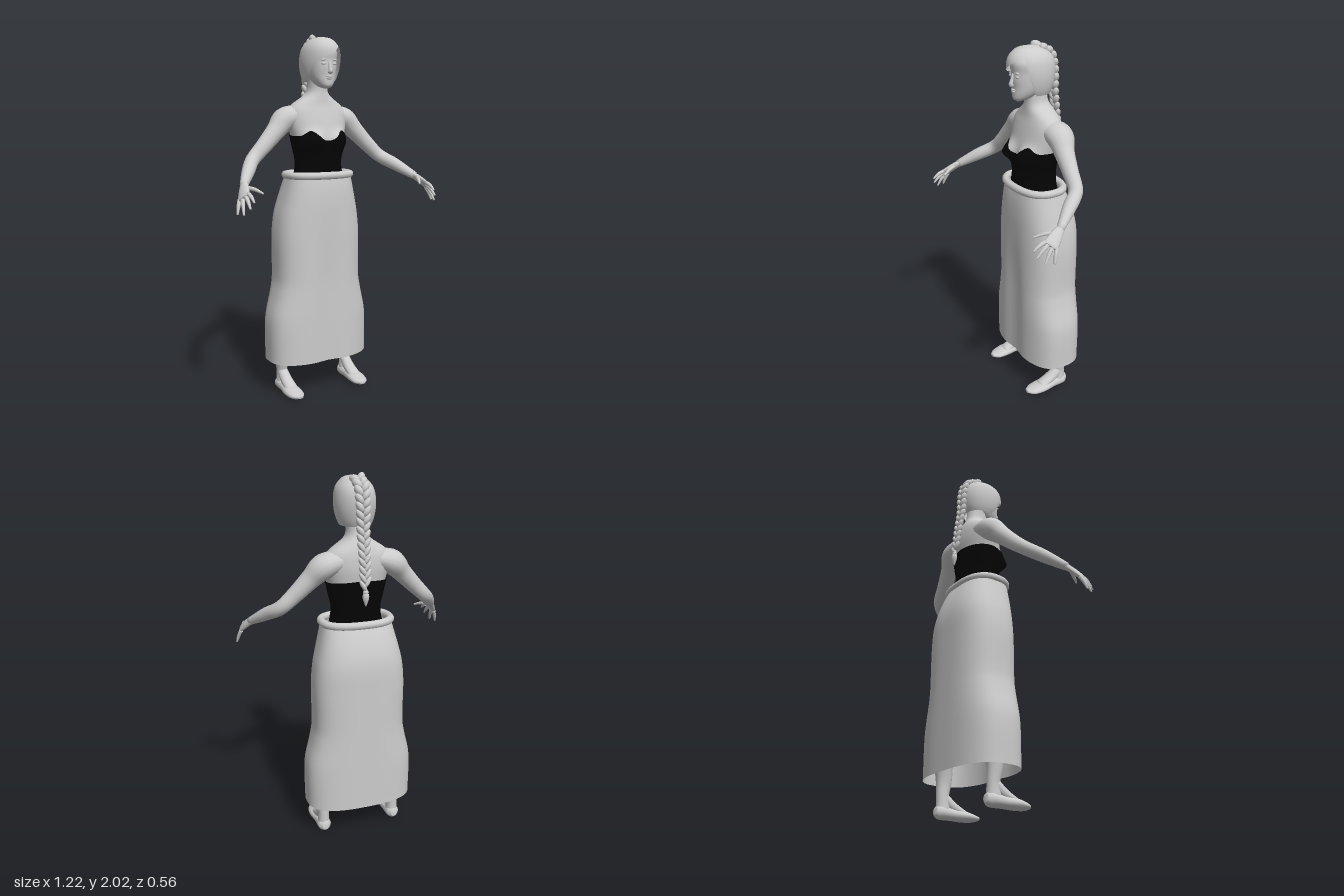
import * as THREE from 'three';

const grey = new THREE.MeshStandardMaterial({ color: 0xcccccc, side: THREE.DoubleSide });
grey.name = 'lightGrey';
const black = new THREE.MeshStandardMaterial({ color: 0x040404, side: THREE.DoubleSide });
black.name = 'black';

// Closed-around surface: fn(angle, row 0..rows) returns [x, y, z]
function sheet(cols, rows, fn) {
  const pos = [], index = [];
  for (let j = 0; j <= rows; j++)
    for (let i = 0; i < cols; i++) pos.push(...fn((i / cols) * Math.PI * 2, j));
  for (let j = 0; j < rows; j++)
    for (let i = 0; i < cols; i++) {
      const k = (i + 1) % cols, a = j * cols, b = a + cols;
      index.push(a + i, a + k, b + k, a + i, b + k, b + i);
    }
  const g = new THREE.BufferGeometry();
  g.setAttribute('position', new THREE.Float32BufferAttribute(pos, 3));
  g.setIndex(index);
  g.computeVertexNormals();
  return g;
}

// Smooth lookup in a table of [y, ...values] with rising y
function sample(table, y) {
  const last = table.length - 1;
  let i = 0;
  while (i < last - 1 && y > table[i + 1][0]) i++;
  const p = table[i], q = table[i + 1], h = q[0] - p[0];
  const t = THREE.MathUtils.clamp((y - p[0]) / h, 0, 1);
  const slope = (k, c) => {
    const a = table[Math.max(k - 1, 0)], b = table[Math.min(k + 1, last)];
    return (b[c] - a[c]) / (b[0] - a[0]);
  };
  return p.slice(1).map((v, n) => {
    const c = n + 1, t2 = t * t, t3 = t2 * t;
    return (2 * t3 - 3 * t2 + 1) * v + (t3 - 2 * t2 + t) * h * slope(i, c)
      + (3 * t2 - 2 * t3) * q[c] + (t3 - t2) * h * slope(i + 1, c);
  });
}

// Point on a horizontal section; table rows are [y, halfWidth, frontZ, backZ]
function around(table, a, y, power = 2, grow = 0) {
  const [rx, zf, zb] = sample(table, y);
  const bend = (v) => Math.sign(v) * Math.abs(v) ** (2 / power);
  return [bend(Math.sin(a)) * (rx + grow), y, (zf + zb) / 2 + bend(Math.cos(a)) * ((zf - zb) / 2 + grow)];
}

// Tapered tube; points are [x, y, z, radiusAcross, radiusOther]
function limb(points, wide = [0, 0, 1], cols = 16, rows = points.length * 5) {
  const curve = new THREE.CatmullRomCurve3(points.map((p) => new THREE.Vector3(p[0], p[1], p[2])));
  const radii = points.map((p, i) => [i, p[3], p[4] ?? p[3]]);
  return sheet(cols, rows + 2, (a, j) => {
    const t = THREE.MathUtils.clamp((j - 1) / rows, 0, 1);
    const T = curve.getTangent(t), N = new THREE.Vector3(...wide);
    N.addScaledVector(T, -N.dot(T)).normalize();
    const B = T.clone().cross(N);
    const [ra, rb] = sample(radii, t * (points.length - 1));
    const open = j === 0 || j === rows + 2 ? 0 : 1;
    return curve.getPoint(t).addScaledVector(N, Math.cos(a) * ra * open)
      .addScaledVector(B, Math.sin(a) * rb * open).toArray();
  });
}

function mirrored(geometry) {
  const g = geometry.clone().scale(-1, 1, 1), ix = g.index.array;
  for (let i = 0; i < ix.length; i += 3) [ix[i], ix[i + 1]] = [ix[i + 1], ix[i]];
  g.computeVertexNormals();
  return g;
}

const TORSO = [
  [0.95, 0.2, 0.02, -0.24], [1.1, 0.175, 0.03, -0.225], [1.25, 0.137, 0.03, -0.185], [1.32, 0.128, 0.025, -0.18],
  [1.4, 0.145, 0.025, -0.183], [1.47, 0.16, 0.022, -0.188], [1.54, 0.175, 0.008, -0.195], [1.6, 0.175, -0.008, -0.192],
  [1.635, 0.15, -0.018, -0.185], [1.665, 0.105, -0.022, -0.175], [1.69, 0.07, -0.025, -0.163],
  [1.72, 0.055, -0.027, -0.15], [1.8, 0.052, -0.02, -0.14],
];
const SKIRT = [
  [0.19, 0.305, 0.06, -0.28], [0.43, 0.303, 0.06, -0.28], [0.58, 0.27, 0.06, -0.28], [0.66, 0.256, 0.06, -0.28],
  [0.9, 0.255, 0.06, -0.28], [1.02, 0.243, 0.06, -0.278], [1.1, 0.225, 0.06, -0.265], [1.18, 0.205, 0.056, -0.238],
  [1.25, 0.188, 0.046, -0.206],
];
const HEAD = [
  [1.722, 0.012, 0.03, 0.0], [1.733, 0.034, 0.046, -0.04], [1.76, 0.056, 0.05, -0.09], [1.79, 0.069, 0.05, -0.12],
  [1.83, 0.077, 0.054, -0.15], [1.87, 0.081, 0.053, -0.16], [1.92, 0.08, 0.055, -0.15], [1.96, 0.055, 0.03, -0.11],
];
const HAIR = [
  [1.74, 0.07, 0.01, -0.145], [1.76, 0.085, 0.03, -0.16], [1.8, 0.099, 0.055, -0.175], [1.85, 0.106, 0.07, -0.185],
  [1.9, 0.104, 0.077, -0.185], [1.94, 0.094, 0.07, -0.172], [1.97, 0.073, 0.048, -0.142], [1.99, 0.045, 0.015, -0.1],
  [2.0, 0.001, -0.04, -0.042],
];

// Torso surface with the bust swelling forward
function body(a, y, grow = 0) {
  const p = around(TORSO, a, y, 2.2, grow);
  const d = ((Math.abs(p[0]) - 0.082) / 0.052) ** 2 + ((y - 1.435) / 0.045) ** 2;
  if (Math.cos(a) > 0) p[2] += 0.056 * Math.exp(-d) * Math.min(1, Math.cos(a) * 2);
  return p;
}

export function createModel() {
  const model = new THREE.Group();
  model.name = 'woman';
  const add = (name, geometry, material = grey) => {
    const m = new THREE.Mesh(geometry, material);
    m.name = name;
    model.add(m);
    return m;
  };
  const pair = (name, geometry) => {
    add(name + 'Left', geometry);
    add(name + 'Right', mirrored(geometry));
  };
  const blob = (name, x, y, z, sx, sy, sz, tilt = 0) => {
    const m = add(name, new THREE.SphereGeometry(1, 14, 10));
    m.position.set(x, y, z);
    m.scale.set(sx, sy, sz);
    m.rotation.z = tilt;
  };

  // Torso and strapless top with a scalloped edge
  add('torso', sheet(48, 60, (a, j) => body(a, 0.95 + (0.85 * j) / 60)));
  add('bodice', sheet(72, 24, (a, j) => {
    const x = Math.abs(Math.sin(a)) * 0.16;
    const cups = 1.44 + 0.055 * Math.exp(-(((x - 0.085) / 0.042) ** 2)) + 0.025 * Math.max(0, (x - 0.1) / 0.06);
    const top = Math.cos(a) > 0 ? cups : 1.485 - 0.015 * Math.abs(Math.sin(a));
    return body(a, 1.18 + ((top - 1.18) * j) / 24, 0.006);
  }), black);

  // Long open skirt, drawn in gently between the legs
  add('skirt', sheet(72, 50, (a, j) => {
    const y = 0.19 + (1.06 * j) / 50;
    const p = around(SKIRT, a, y, 2.7);
    const low = THREE.MathUtils.smoothstep(1.1 - y, 0, 0.5);
    if (Math.cos(a) > 0) p[2] -= 0.016 * low * Math.exp(-((p[0] / 0.07) ** 2));
    return p;
  }));
  const rim = [];
  for (let i = 0; i < 32; i++) rim.push(new THREE.Vector3(...around(SKIRT, (i / 32) * Math.PI * 2, 1.25, 2.5)));
  add('waistband', new THREE.TubeGeometry(new THREE.CatmullRomCurve3(rim, true), 80, 0.021, 10, true));

  // Head and face
  add('head', sheet(40, 30, (a, j) => around(HEAD, a, 1.722 + (0.238 * j) / 30, 2.2)));
  add('nose', limb([[0, 1.865, 0.05, 0.007], [0, 1.835, 0.058, 0.009], [0, 1.812, 0.064, 0.013, 0.011], [0, 1.803, 0.055, 0.01]], [1, 0, 0], 10));
  blob('upperLip', 0, 1.784, 0.05, 0.022, 0.005, 0.008);
  blob('lowerLip', 0, 1.774, 0.049, 0.019, 0.006, 0.008);
  for (const s of [-1, 1]) {
    blob('eye', s * 0.032, 1.852, 0.046, 0.014, 0.007, 0.007);
    blob('brow', s * 0.034, 1.872, 0.047, 0.019, 0.005, 0.007, -s * 0.1);
  }

  // Hair with a fringe swept to one side
  add('hair', sheet(72, 28, (a, j) => {
    const angle = a > Math.PI ? a - Math.PI * 2 : a;
    const fringe = 1.905 + 0.05 * Math.sin(angle * 1.3);
    const side = THREE.MathUtils.smoothstep(Math.abs(angle), 0.85, 1.3);
    const edge = THREE.MathUtils.lerp(fringe, 1.755, side);
    const t = Math.sin(((j / 28) * Math.PI) / 2);
    return around(HAIR, a, edge + (2 - edge) * t, 2.1);
  }));

  // Braid of paired overlapping strands, then the tie and loose end
  const braid = new THREE.CatmullRomCurve3([
    [1.99, -0.1], [1.955, -0.165], [1.87, -0.192], [1.75, -0.198], [1.6, -0.22], [1.45, -0.238],
  ].map(([y, z]) => new THREE.Vector3(0, y, z)));
  const rows = 15;
  for (let i = 0; i < rows; i++) {
    const width = 0.033 - 0.014 * (i / rows);
    for (const s of [-1, 1]) {
      const t = Math.min(1, (i + (s > 0 ? 0.5 : 0)) / rows);
      const p = braid.getPointAt(t), T = braid.getTangentAt(t);
      const strand = add('braidStrand', new THREE.SphereGeometry(1, 12, 8));
      strand.position.set(s * width * 0.6, p.y, p.z);
      strand.scale.set(width * 0.62, 0.032, width * 0.72);
      strand.rotation.set(Math.atan2(-T.z, -T.y), 0, -s * 0.55);
    }
  }
  blob('braidTie', 0, 1.438, -0.239, 0.015, 0.012, 0.014);
  add('braidEnd', limb([[0, 1.44, -0.239, 0.012], [0, 1.41, -0.24, 0.018, 0.015], [0, 1.365, -0.24, 0.003]], [1, 0, 0], 10));

  // Arms, palms and fingers
  pair('arm', limb([
    [0.09, 1.585, -0.11, 0.07, 0.05], [0.185, 1.557, -0.115, 0.075, 0.066], [0.25, 1.495, -0.1, 0.054, 0.053],
    [0.33, 1.415, -0.085, 0.042, 0.044], [0.405, 1.345, -0.065, 0.037, 0.038], [0.465, 1.295, 0.015, 0.035, 0.035],
    [0.535, 1.232, 0.115, 0.02, 0.022],
  ]));
  const across = [-0.5, 0.55, 0.7];
  pair('palm', limb([
    [0.528, 1.238, 0.105, 0.02, 0.018], [0.548, 1.212, 0.145, 0.032, 0.016], [0.566, 1.184, 0.185, 0.038, 0.013],
    [0.57, 1.177, 0.195, 0.03, 0.01],
  ], across));
  const fingers = {
    index: [[0.55, 1.198, 0.206], [0.55, 1.162, 0.276]], middle: [[0.56, 1.187, 0.194], [0.566, 1.13, 0.266]],
    ring: [[0.571, 1.176, 0.18], [0.588, 1.098, 0.234]], little: [[0.58, 1.167, 0.164], [0.603, 1.096, 0.19]],
    thumb: [[0.535, 1.222, 0.14], [0.482, 1.198, 0.234]],
  };
  for (const [name, [b, e]] of Object.entries(fingers)) {
    const mid = b.map((v, i) => (v + e[i]) / 2 + (i === 1 ? 0.006 : 0));
    pair(name + 'Finger', limb([[...b, 0.011], [...mid, 0.01], [...e, 0.005]], across, 10));
  }

  // Legs, insteps and flat shoes
  pair('leg', limb([
    [0.1, 1.02, -0.12, 0.1], [0.14, 0.8, -0.11, 0.095], [0.175, 0.55, -0.105, 0.065], [0.205, 0.36, -0.135, 0.058],
    [0.216, 0.2, -0.125, 0.044, 0.038], [0.213, 0.11, -0.132, 0.034, 0.031], [0.212, 0.045, -0.128, 0.04, 0.034],
  ]));
  pair('instep', limb([[0.213, 0.11, -0.125, 0.03], [0.212, 0.07, -0.075, 0.034, 0.03], [0.211, 0.035, 0.005, 0.038, 0.02]], [1, 0, 0]));
  pair('shoe', limb([
    [0.212, 0.04, -0.176, 0.018, 0.022], [0.212, 0.036, -0.15, 0.038, 0.036], [0.212, 0.031, -0.08, 0.04, 0.031],
    [0.213, 0.028, 0, 0.05, 0.028], [0.209, 0.024, 0.06, 0.042, 0.019], [0.206, 0.026, 0.093, 0.016, 0.01],
  ], [1, 0, 0], 20));
  return model;
}
